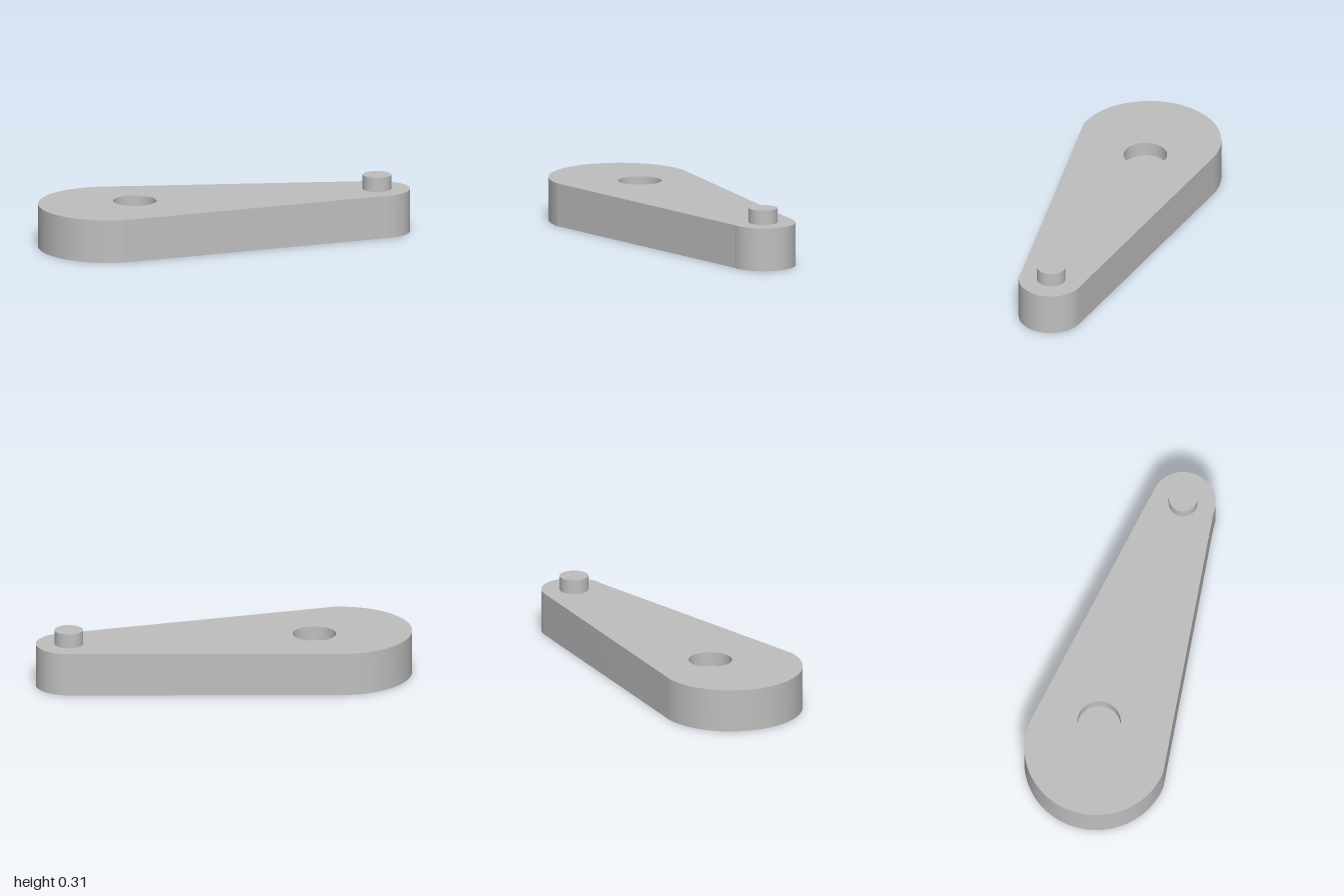
import * as THREE from 'three';
import { toCreasedNormals } from 'three/addons/utils/BufferGeometryUtils.js';

const HEIGHT = 0.23;
const SEGMENTS = 96;
const big = { x: -0.62, z: 0, r: 0.38 };
const small = { x: 0.83, z: -0.077, r: 0.17 };
const hole = { x: -0.48, z: -0.04, r: 0.115, floor: 0.153 };
const peg = { x: 0.826, z: -0.077, r: 0.076, h: 0.077 };

export function createModel() {
  const group = new THREE.Group();
  const grey = new THREE.MeshStandardMaterial({ color: 0xbfbfbf });
  grey.name = 'grey';

  const add = (name, geometry, x = 0, y = 0, z = 0) => {
    const mesh = new THREE.Mesh(geometry, grey);
    mesh.name = name;
    mesh.position.set(x, y, z);
    group.add(mesh);
  };

  // Tapered arm with two rounded ends (shape y is -z)
  const outline = new THREE.Shape();
  outline.absarc(big.x, -big.z, big.r, Math.PI / 2, Math.PI * 1.5, false);
  outline.absarc(small.x, -small.z, small.r, -Math.PI / 2, Math.PI / 2 - 0.09, false);
  outline.closePath();
  const bore = new THREE.Path();
  bore.absarc(hole.x, -hole.z, hole.r, 0, Math.PI * 2, true);
  outline.holes.push(bore);
  const arm = new THREE.ExtrudeGeometry(outline, {
    depth: HEIGHT, bevelEnabled: false, curveSegments: SEGMENTS / 2,
  });
  arm.rotateX(-Math.PI / 2);
  add('arm', toCreasedNormals(arm, 0.08));

  // Floor of the blind hole, and the closed underside beneath it
  const disc = (turn) => new THREE.CircleGeometry(hole.r, SEGMENTS).rotateX(turn);
  add('holeFloor', disc(-Math.PI / 2), hole.x, hole.floor, hole.z);
  add('undersideDisc', disc(Math.PI / 2), hole.x, 0, hole.z);

  // Round peg on the narrow end
  add('peg', new THREE.CylinderGeometry(peg.r, peg.r, peg.h, 64),
    peg.x, HEIGHT + peg.h / 2, peg.z);

  return group;
}
